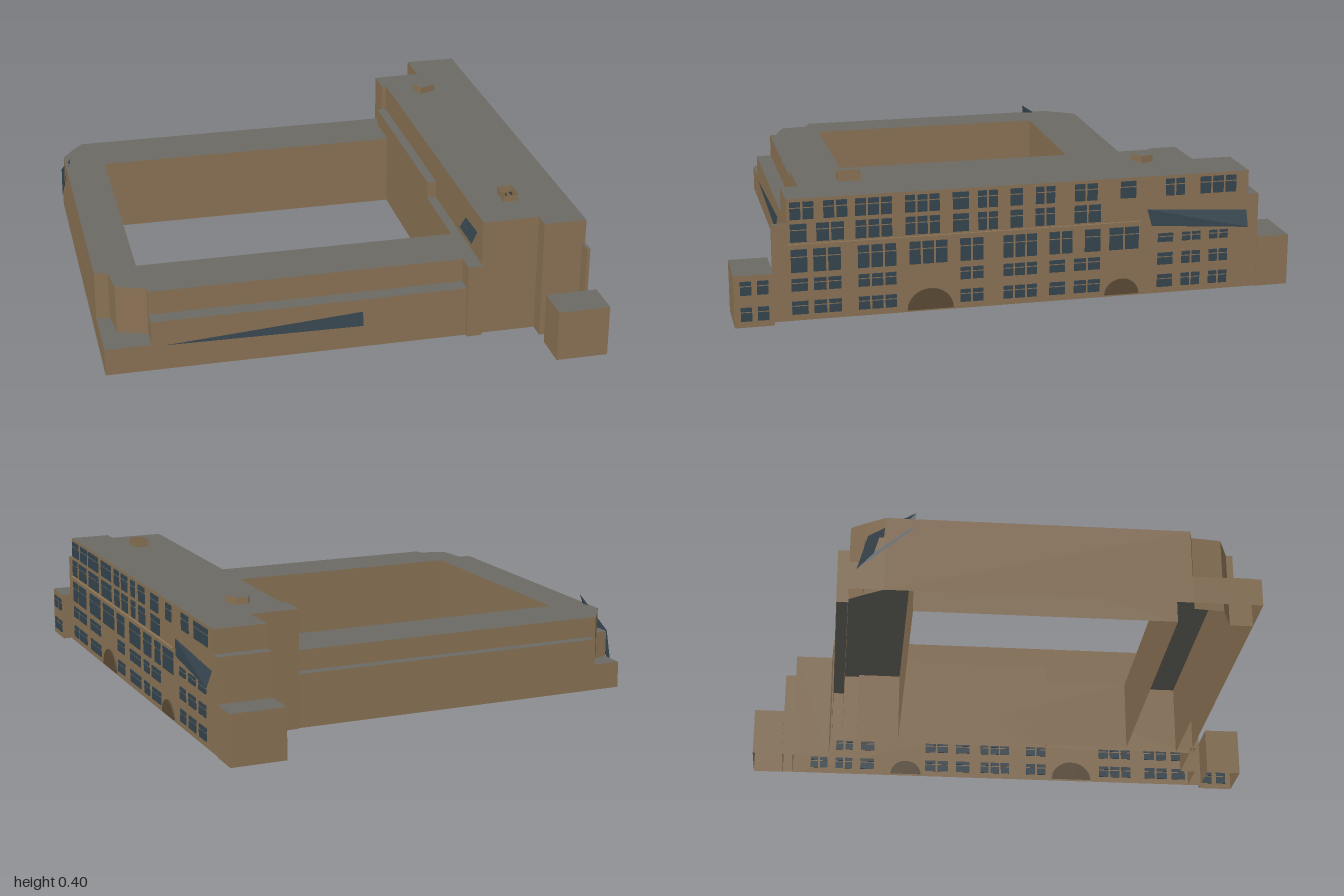
import * as THREE from 'three';
import { mergeGeometries } from 'three/addons/utils/BufferGeometryUtils.js';

const mat = (name, color) =>
  Object.assign(new THREE.MeshStandardMaterial({ color, side: THREE.DoubleSide }), { name });

export function createModel() {
  const wall = mat('tan wall', 0x8b7355);
  const roof = mat('grey roof', 0x6b6a63);
  const glass = mat('dark glass', 0x36454f);
  const gate = mat('brown gate', 0x5a4a34);

  // Local plan: x = towards the long facade, z = along the facade
  const plan = new THREE.Group();
  plan.name = 'courtyardBuilding';
  plan.rotation.y = 0.439;

  const add = (name, geometry, material) => {
    const m = new THREE.Mesh(geometry, material);
    m.name = name;
    plan.add(m);
    return m;
  };

  // Flat polygon through a few 3D corners
  const facet = (pts) => {
    const g = new THREE.BufferGeometry();
    const pos = [];
    for (let i = 1; i < pts.length - 1; i++) pos.push(...pts[0], ...pts[i], ...pts[i + 1]);
    g.setAttribute('position', new THREE.Float32BufferAttribute(pos, 3));
    g.computeVertexNormals();
    return g;
  };

  // Vertical walls around a plan outline
  const walls = (name, pts, y0, y1) => add(name, mergeGeometries(pts.map(([x, z], i) => {
    const [u, w] = pts[(i + 1) % pts.length];
    return facet([[x, y0, z], [x, y1, z], [u, y1, w], [u, y0, w]]);
  })), wall);

  // Open-bottomed block: walls plus a flat roof, with optional roof hole
  const block = (name, pts, y1, y0 = 0, hole = null) => {
    const v2 = (list) => list.map(([x, z]) => new THREE.Vector2(x, -z));
    const shape = new THREE.Shape(v2(pts));
    if (hole) shape.holes.push(new THREE.Path(v2(hole)));
    walls(name + 'Walls', pts, y0, y1);
    add(name + 'Roof', new THREE.ShapeGeometry(shape).rotateX(-Math.PI / 2).translate(0, y1, 0), roof);
  };
  const rect = (x0, x1, z0, z1) => [[x0, z0], [x1, z0], [x1, z1], [x0, z1]];

  // Ring around the courtyard
  const court = rect(-0.70, 0.29, -0.31, 0.477);
  block('courtRing', [
    [-0.83, 0.50], [-0.79, 0.51], [-0.78, 0.60], [-0.69, 0.635], [-0.69, 0.655], [0.32, 0.655],
    [0.32, -0.50], [-0.76, -0.50], [-0.79, -0.46], [-0.83, -0.40],
  ], 0.235, 0, court);
  walls('courtWalls', court, 0, 0.235);

  // Lower ledges and corner terraces
  block('frontLedge', rect(-0.69, 0.32, 0.655, 0.705), 0.16);
  block('backLedge', rect(-0.74, 0.32, -0.535, -0.50), 0.17);
  block('frontCorner', [[-0.83, 0.50], [-0.79, 0.51], [-0.78, 0.60], [-0.69, 0.635], [-0.69, 0.705], [-0.83, 0.705]], 0.085);
  block('backCorner', [[-0.83, -0.535], [-0.74, -0.535], [-0.74, -0.50], [-0.76, -0.50], [-0.79, -0.46], [-0.83, -0.455]], 0.085);
  block('backCornerStep', [[-0.83, -0.455], [-0.79, -0.46], [-0.83, -0.40]], 0.17);
  block('frontPost', rect(0.275, 0.322, 0.655, 0.717), 0.235);

  // Tall wing with end steps and annexes
  const shaft = rect(0.424, 0.47, 0.508, 0.577);
  block('wing', [
    [0.305, -0.54], [0.46, -0.545], [0.46, -0.67], [0.627, -0.67], [0.627, 0.755],
    [0.495, 0.755], [0.495, 0.703], [0.32, 0.703], [0.32, -0.45], [0.305, -0.45],
  ], 0.375, 0, shaft);
  block('wingLedge', rect(0.29, 0.32, -0.45, 0.20), 0.29);
  block('backStep', rect(0.46, 0.627, -0.705, -0.67), 0.30);
  block('backAnnex', rect(0.455, 0.63, -0.807, -0.705), 0.16);
  block('frontScreen', rect(0.617, 0.627, 0.755, 0.80), 0.30);
  block('frontAnnex', rect(0.495, 0.655, 0.80, 0.917), 0.16);

  // Roof outlets: an open shaft and a five-sided vent
  walls('roofShaft', shaft, 0.375, 0.397);
  block('roofVent', [[0.419, -0.422], [0.459, -0.414], [0.474, -0.374], [0.421, -0.355], [0.406, -0.395]], 0.397, 0.375);

  // Facade windows: spans along the facade for each storey
  const rows = [
    [0.312, 0.365, [[0.41, 0.34], [0.32, 0.25], [0.235, 0.13], [0.1, 0], [-0.03, -0.08], [-0.1, -0.16],
      [-0.19, -0.23], [-0.26, -0.32], [-0.37, -0.44], [-0.5, -0.55], [-0.63, -0.69], [-0.73, -0.84]]],
    [0.243, 0.298, [[0.41, 0.36], [0.34, 0.26], [0.235, 0.13], [0.1, 0], [-0.03, -0.08], [-0.1, -0.16],
      [-0.19, -0.23], [-0.26, -0.32], [-0.37, -0.45]]],
    [0.15, 0.22, [[0.41, 0.36], [0.35, 0.27], [0.23, 0.12], [0.09, -0.02], [-0.05, -0.12], [-0.17, -0.27],
      [-0.3, -0.37], [-0.4, -0.45], [-0.47, -0.56]]],
    [0.165, 0.192, [[-0.61, -0.66], [-0.68, -0.74], [-0.76, -0.82]]],
  ];
  const low = [[0.41, 0.36], [0.35, 0.27], [0.23, 0.12], [-0.05, -0.12], [-0.17, -0.27], [-0.3, -0.35],
    [-0.37, -0.45], [-0.61, -0.66], [-0.68, -0.74], [-0.76, -0.82]];
  rows.push([0.092, 0.13, low], [0.02, 0.06, low]);

  const along = (z) => (z + 0.267) / 0.905;
  const panes = [];
  const windowPanes = (x, y0, y1, z0, z1) => {
    const n = Math.max(1, Math.round((z1 - z0) / 0.04));
    const w = (z1 - z0) / n;
    const split = y0 + (y1 - y0) * 0.7;
    for (let i = 0; i < n; i++) {
      for (const [a, b] of [[y0, split - 0.004], [split, y1]]) {
        panes.push(new THREE.BoxGeometry(0.006, b - a, w - 0.007)
          .translate(x + 0.001, (a + b) / 2, z0 + (i + 0.5) * w));
      }
    }
  };
  for (const [y0, y1, spans] of rows)
    for (const [a, b] of spans) windowPanes(0.627, y0, y1, along(b), along(a));
  for (const y of [0.02, 0.1])
    for (const z of [0.812, 0.862]) windowPanes(0.655, y, y + 0.042, z, z + 0.04);
  add('facadeWindows', mergeGeometries(panes), glass);

  // String course between the storeys
  add('facadeBand', new THREE.BoxGeometry(0.012, 0.008, 1.08).translate(0.629, 0.233, 0.215), wall);

  // Arched gateways
  for (const [z, r] of [[0.03, 0.065], [-0.51, 0.05]]) {
    add('archedGate', new THREE.CylinderGeometry(r, r, 0.006, 20, 1, false, 0, Math.PI)
      .rotateZ(Math.PI / 2).scale(1, 1, 1.08).translate(0.629, 0.006, along(z)), gate);
  }

  // Slanted glass strips
  add('facadeStrip', facet([[0.630, 0.272, -0.346], [0.630, 0.25, -0.666], [0.648, 0.2, -0.666], [0.634, 0.22, -0.36]]), glass);
  add('frontStrip', facet([[-0.65, 0.08, 0.707], [-0.05, 0.075, 0.714], [-0.05, 0.12, 0.707]]), glass);
  add('wingStrip', facet([[0.316, 0.318, 0.54], [0.316, 0.323, 0.66], [0.302, 0.28, 0.65], [0.302, 0.28, 0.525]]), glass);
  add('sideStrip', facet([[-0.836, 0.06, -0.48], [-0.836, 0.17, -0.45], [-0.815, 0.265, -0.31], [-0.833, 0.2, -0.32]]), glass);

  const model = new THREE.Group();
  model.name = 'building';
  model.add(plan);
  return model;
}
